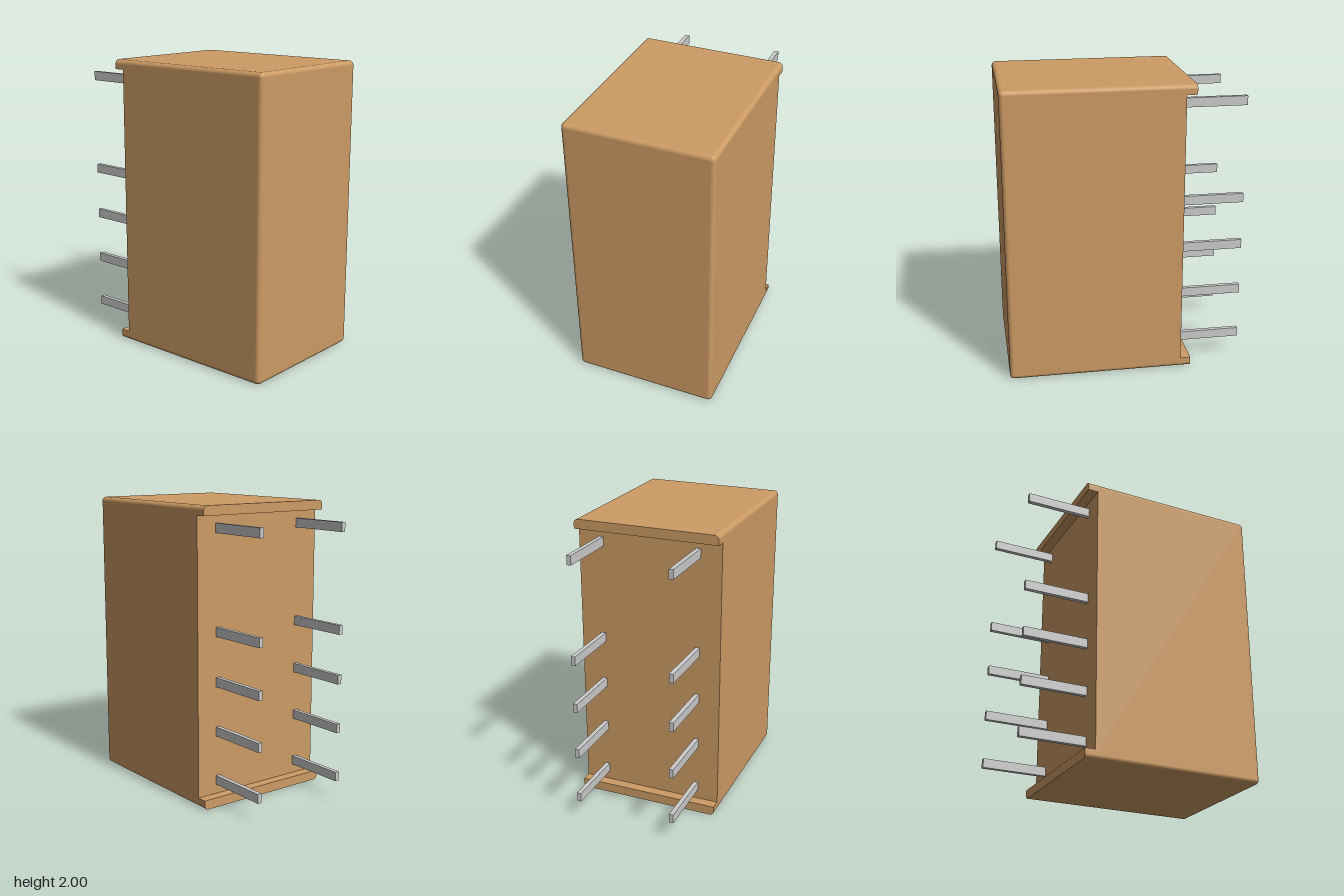
import * as THREE from 'three';
import { RoundedBoxGeometry } from 'three/addons/geometries/RoundedBoxGeometry.js';

const W = 1, H = 2, R = 0.03;
const FRONT = 0.815, BACK = -0.37, LIP_END = -0.44, LIP_H = 0.065, PIN_END = -0.815;

// Rounded case whose back end is cut off flat
function caseGeometry() {
  const depth = FRONT - BACK + R;
  const geo = new RoundedBoxGeometry(W, H, depth, 4, R);
  geo.translate(0, H / 2, FRONT - depth / 2);
  const pos = geo.attributes.position, nor = geo.attributes.normal;
  for (let i = 0; i < pos.count; i += 3) {
    const tri = [i, i + 1, i + 2];
    if (!tri.every((k) => pos.getZ(k) < BACK + 1e-4)) continue;
    for (const k of tri) {
      pos.setZ(k, BACK);
      nor.setXYZ(k, 0, 0, -1);
    }
  }
  return geo;
}

// Strip with two rounded lower corners that continues the case outline
function lipGeometry() {
  const x = W / 2;
  const s = new THREE.Shape();
  s.moveTo(-x, LIP_H);
  s.lineTo(-x, R);
  s.absarc(-x + R, R, R, Math.PI, Math.PI * 1.5);
  s.lineTo(x - R, 0);
  s.absarc(x - R, R, R, -Math.PI / 2, 0);
  s.lineTo(x, LIP_H);
  s.closePath();
  const geo = new THREE.ExtrudeGeometry(s, { depth: BACK - LIP_END, bevelEnabled: false, curveSegments: 6 });
  return geo.translate(0, 0, LIP_END);
}

export function createModel() {
  const group = new THREE.Group();
  const caseMat = new THREE.MeshStandardMaterial({ color: 0xcc9b64 });
  const pinMat = new THREE.MeshStandardMaterial({ color: 0xcccccc });

  const add = (name, geo, mat) => {
    const mesh = new THREE.Mesh(geo, mat);
    mesh.name = name;
    group.add(mesh);
    return mesh;
  };

  add('case', caseGeometry(), caseMat);

  // Lips along the bottom and top of the back
  add('bottomLip', lipGeometry(), caseMat);
  const topLip = add('topLip', lipGeometry().rotateZ(Math.PI), caseMat);
  topLip.position.y = H;

  // Two columns of flat pins
  const pinGeo = new THREE.BoxGeometry(0.03, 0.063, BACK - PIN_END);
  for (const side of [-1, 1]) {
    for (const y of [0.16, 0.5, 0.838, 1.175, 1.85]) {
      const pin = add(side > 0 ? 'leftPin' : 'rightPin', pinGeo, pinMat);
      pin.position.set(side * 0.34, y, (BACK + PIN_END) / 2);
    }
  }
  return group;
}
